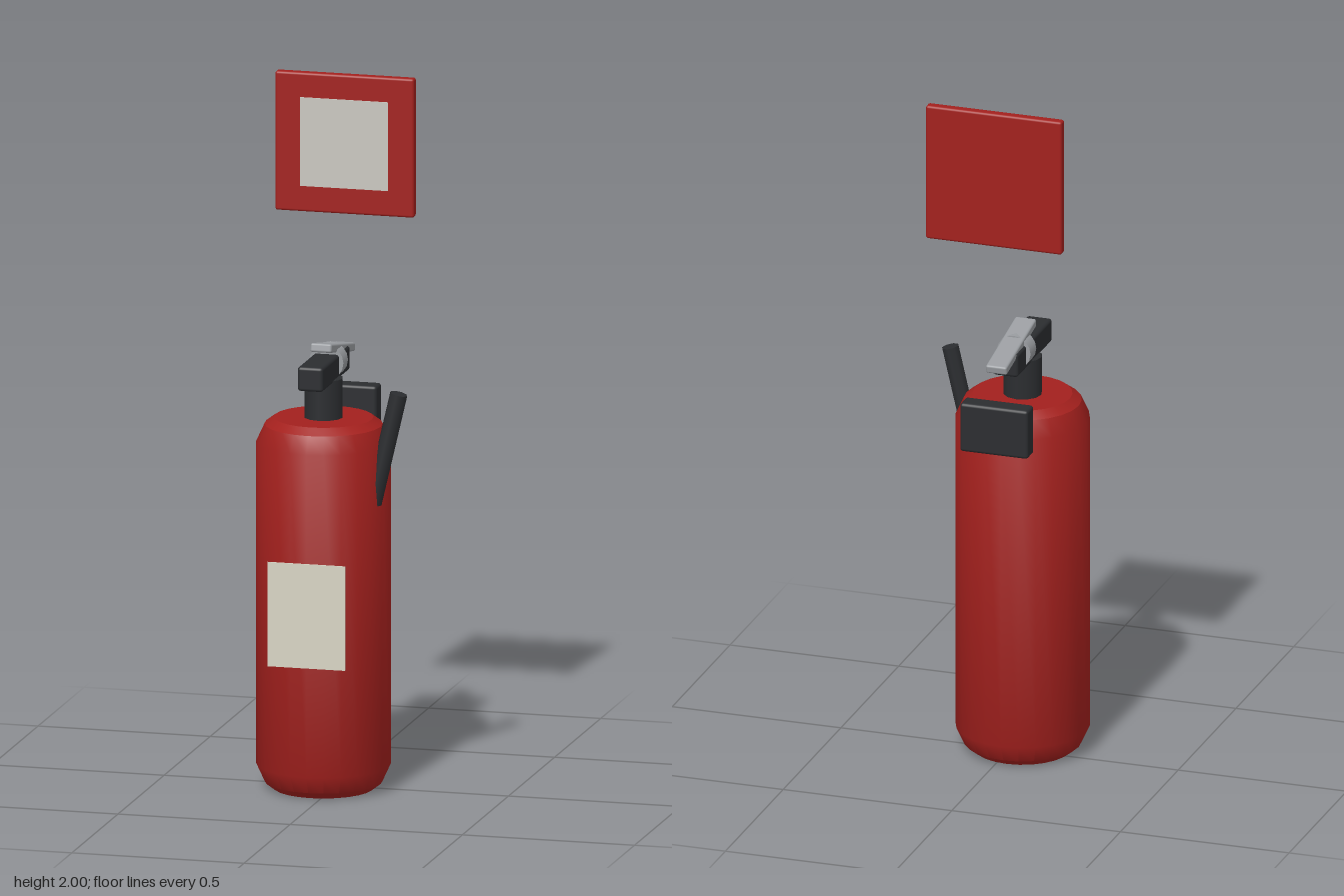
import * as THREE from 'three';
import { RoundedBoxGeometry } from 'three/addons/geometries/RoundedBoxGeometry.js';
import { toCreasedNormals } from 'three/addons/utils/BufferGeometryUtils.js';

const paint = (color) => new THREE.MeshStandardMaterial({ color });
const RED = paint(0xa3201d), BLACK = paint(0x2b2d30), METAL = paint(0x9a9da1);
const LABEL = paint(0xd8d4c4), PANEL = paint(0xcac8c0);

// Shared axis of the cylinder and valve
const CX = -0.029, CZ = 0.029;

export function createModel() {
  const model = new THREE.Group();
  model.name = 'fireExtinguisherWithSign';

  const add = (name, geometry, material, x, y, z) => {
    const mesh = new THREE.Mesh(geometry, material);
    mesh.name = name;
    mesh.position.set(x, y, z);
    model.add(mesh);
    return mesh;
  };
  const softBox = (w, h, d, r) => new RoundedBoxGeometry(w, h, d, 2, r);

  // Tank with bevelled shoulder and foot
  const profile = [
    [0, 0], [0.14, 0], [0.166, 0.02], [0.189, 0.07],
    [0.189, 0.998], [0.166, 1.048], [0.14, 1.067], [0, 1.067],
  ].map(([r, y]) => new THREE.Vector2(r, y));
  add('tank', toCreasedNormals(new THREE.LatheGeometry(profile, 24), 0.5), RED, CX, 0, CZ);

  // Front label
  add('label', new THREE.BoxGeometry(0.225, 0.3, 0.004), LABEL, -0.028, 0.535, 0.22);

  // Valve: neck, lower handle, gauge and tilted squeeze lever
  add('valveNeck', new THREE.CylinderGeometry(0.055, 0.055, 0.14, 12), BLACK, CX, 1.11, CZ);
  add('carryHandle', softBox(0.074, 0.07, 0.3, 0.009), BLACK, CX, 1.206, 0.028);
  const gauge = add('gauge', new THREE.CylinderGeometry(0.05, 0.05, 0.05, 16), METAL, CX, 1.217, -0.024);
  gauge.rotation.x = Math.PI / 2;
  const lever = add('squeezeLever', softBox(0.062, 0.025, 0.267, 0.006), METAL, CX, 1.245, -0.071);
  lever.rotation.x = -0.2;

  // Slanted hose entering the side of the tank
  const hoseLength = 0.42, hoseTilt = 0.23;
  const hose = add('hose', new THREE.CylinderGeometry(0.025, 0.025, hoseLength, 8), BLACK,
    0.203 - Math.sin(hoseTilt) * hoseLength / 2, 1.158 - Math.cos(hoseTilt) * hoseLength / 2, 0.08);
  hose.rotation.z = -hoseTilt;

  // Wall bracket behind the shoulder
  add('wallBracket', softBox(0.202, 0.145, 0.057, 0.009), BLACK, CX, 1.043, -0.195);

  // Wall sign with a pale panel
  add('sign', softBox(0.403, 0.4, 0.029, 0.007), RED, CX, 1.8, -0.21);
  add('signPanel', new THREE.BoxGeometry(0.255, 0.255, 0.004), PANEL, CX, 1.802, -0.194);

  return model;
}
